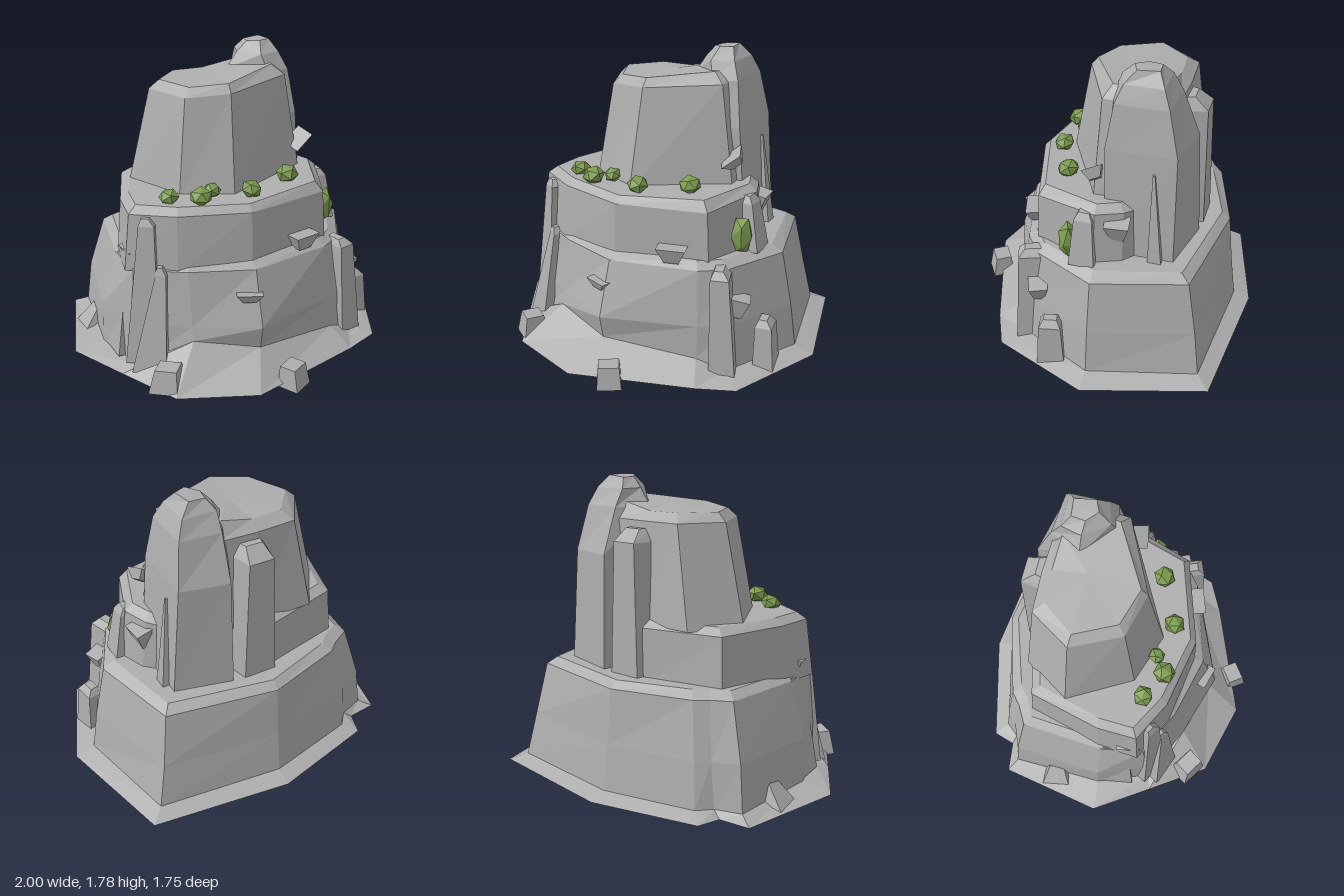
import * as THREE from 'three';

const rock = new THREE.MeshStandardMaterial({ color: 0xaeaeae, side: THREE.DoubleSide });
rock.name = 'rock grey';
const moss = new THREE.MeshStandardMaterial({ color: 0x7c9c4e });
moss.name = 'shrub green';

// Faceted loft through rings of [x, z, optional y], listed clockwise from above, capped on the last ring
function loft(rings) {
  const pos = [];
  const loops = rings.map(([y, pts]) => pts.map(([x, z, own]) => new THREE.Vector3(x, own ?? y, z)));
  const tri = (...vs) => vs.forEach((v) => pos.push(v.x, v.y, v.z));
  const n = loops[0].length;
  for (let r = 0; r < loops.length - 1; r++) {
    const a = loops[r], b = loops[r + 1];
    for (let i = 0; i < n; i++) {
      const j = (i + 1) % n;
      tri(a[j], a[i], b[i]);
      tri(a[j], b[i], b[j]);
    }
  }
  const last = loops[loops.length - 1];
  const centre = last.reduce((s, v) => s.add(v), new THREE.Vector3()).divideScalar(n);
  last.forEach((v, i) => tri(last[(i + 1) % n], v, centre));
  const geo = new THREE.BufferGeometry();
  geo.setAttribute('position', new THREE.Float32BufferAttribute(pos, 3));
  geo.computeVertexNormals();
  return geo;
}

// Box whose top is scaled and shifted, for slabs, stones and wedges
function taperedBlock(w, h, d, topX, topZ, shiftX = 0, shiftZ = 0) {
  const geo = new THREE.BoxGeometry(w, h, d).toNonIndexed();
  const p = geo.attributes.position;
  for (let i = 0; i < p.count; i++) {
    if (p.getY(i) > 0) p.setXYZ(i, p.getX(i) * topX + shiftX, p.getY(i), p.getZ(i) * topZ + shiftZ);
  }
  geo.computeVertexNormals();
  return geo;
}

export function createModel() {
  const model = new THREE.Group();
  model.name = 'rockOutcrop';
  const add = (name, geo, mat = rock, at = [0, 0, 0], turn = [0, 0, 0]) => {
    const mesh = new THREE.Mesh(geo, mat);
    mesh.name = name;
    mesh.position.set(...at);
    mesh.rotation.set(...turn);
    model.add(mesh);
  };

  // Wide lower tier with its ground skirt and bevelled ledge
  const skirt = [[-0.03, -0.88], [0.8, -0.78], [1, -0.07], [0.78, 0.5], [0.57, 0.6], [-0.12, 0.85],
    [-0.57, 0.72], [-0.79, 0.38], [-1, 0.05], [-0.88, -0.57], [-0.7, -0.59], [-0.66, -0.72]];
  const foot = [[-0.03, -0.78], [0.72, -0.7], [0.88, -0.07], [0.66, 0.4], [0.5, 0.46, 0.13], [-0.03, 0.62, 0.19],
    [-0.4, 0.52, 0.25], [-0.7, 0.36], [-0.82, 0.04], [-0.8, -0.52], [-0.65, -0.57], [-0.58, -0.65]];
  const wall = [[-0.03, -0.745], [0.67, -0.66], [0.84, -0.07], [0.64, 0.36], [0.5, 0.45], [-0.03, 0.65],
    [-0.4, 0.5], [-0.7, 0.34], [-0.81, 0.04], [-0.77, -0.5], [-0.62, -0.56], [-0.55, -0.62]];
  const rim = [[-0.03, -0.71], [0.62, -0.6], [0.77, -0.07], [0.6, 0.3], [0.47, 0.4], [-0.03, 0.54],
    [-0.4, 0.44], [-0.68, 0.3], [-0.72, 0.04], [-0.68, -0.45], [-0.57, -0.51], [-0.5, -0.57]];
  const ledge = [[-0.03, -0.66], [0.58, -0.55], [0.7, -0.07], [0.55, 0.27], [0.44, 0.36], [-0.03, 0.47],
    [-0.38, 0.4], [-0.63, 0.27], [-0.67, 0.04], [-0.63, -0.41], [-0.53, -0.46], [-0.46, -0.52]];
  add('lowerTier', loft([[0.035, skirt], [0.07, foot], [0.33, wall], [0.65, rim], [0.69, ledge]]));

  // Hollow underside: flat rim, sloping sides and a shallow roof
  const inset = (s) => skirt.map(([x, z]) => [x * s, z * s]);
  add('underside', loft([[0.034, skirt], [0.034, inset(0.86)], [0.17, inset(0.48)]]));

  // Middle tier with a flat terrace
  add('middleTier', loft([
    [0.64, [[-0.1, -0.53], [0.36, -0.4], [0.58, -0.2], [0.64, -0.05], [0.5, 0.33], [-0.03, 0.485],
      [-0.45, 0.41], [-0.72, 0.27], [-0.7, 0.02], [-0.58, -0.42]]],
    [0.97, [[-0.1, -0.52], [0.34, -0.38], [0.54, -0.2, 1], [0.6, -0.05, 1], [0.48, 0.32], [-0.03, 0.468],
      [-0.44, 0.38], [-0.68, 0.25], [-0.67, 0.02], [-0.56, -0.4]]],
    [1.01, [[-0.1, -0.47], [0.32, -0.34], [0.5, -0.17, 1.04], [0.55, -0.05, 1.04], [0.44, 0.29, 1.03], [-0.03, 0.43],
      [-0.42, 0.34], [-0.63, 0.22], [-0.62, 0.02], [-0.51, -0.36]]],
  ]));

  // Upper block with a bevelled, slightly tilted top
  add('upperTier', loft([
    [0.98, [[-0.02, -0.47], [0.25, -0.45], [0.46, -0.25], [0.47, 0], [-0.06, 0.28], [-0.36, 0.17], [-0.56, -0.2], [-0.38, -0.47]]],
    [1.55, [[-0.03, -0.43], [0.2, -0.42], [0.38, -0.25, 1.6], [0.37, -0.03, 1.6], [-0.04, 0.16, 1.57], [-0.29, 0.09],
      [-0.42, -0.19], [-0.27, -0.42]]],
    [1.6, [[-0.03, -0.37], [0.17, -0.36, 1.64], [0.33, -0.24, 1.66], [0.3, -0.07, 1.66], [-0.04, 0.12, 1.62], [-0.25, 0.05],
      [-0.36, -0.18], [-0.22, -0.36]]],
  ]));

  // Tall pointed pillar behind
  add('peakPillar', loft([
    [0.66, [[0.17, -0.56], [0.51, -0.48], [0.52, -0.08], [0.3, -0.03], [0.1, -0.25]]],
    [1.35, [[0.18, -0.53], [0.46, -0.47], [0.465, -0.07], [0.3, -0.04], [0.09, -0.25]]],
    [1.61, [[0.18, -0.43], [0.42, -0.41], [0.425, -0.11], [0.28, -0.07], [0.08, -0.25]]],
    [1.71, [[0.18, -0.37], [0.38, -0.37], [0.38, -0.15], [0.25, -0.11], [0.15, -0.25]]],
    [1.78, [[0.22, -0.32, 1.77], [0.32, -0.33], [0.34, -0.21], [0.27, -0.18], [0.21, -0.24, 1.77]]],
  ]));

  // Narrow columns on the back
  add('backColumn', loft([
    [0.66, [[-0.1, -0.57], [0.1, -0.57], [0.16, -0.36], [-0.14, -0.36]]],
    [1.44, [[-0.07, -0.55], [0.08, -0.55], [0.13, -0.36], [-0.11, -0.36]]],
    [1.51, [[-0.04, -0.47], [0.06, -0.47], [0.09, -0.36], [-0.07, -0.36]]],
  ]));
  add('sideFin', taperedBlock(0.12, 0.56, 0.08, 0.4, 0.15, -0.03, 0.03), rock, [0.49, 0.96, -0.38]);

  // Buttresses leaning on the walls: name, size, top scale, top shift, position, yaw
  const buttresses = [
    ['rightButtress', [0.15, 0.58, 0.26], [0.7, 0.75], [-0.03, -0.01], [0.61, 0.34, 0.32], 0.35],
    ['rightUpperSlab', [0.12, 0.28, 0.15], [0.6, 0.7], [-0.03, 0], [0.62, 0.82, 0.01], 0],
    ['rightStandingSlab', [0.12, 0.26, 0.16], [0.8, 0.8], [-0.01, 0], [0.8, 0.17, 0.165], 0.2],
    ['leftTallSlab', [0.2, 0.84, 0.16], [0.45, 0.6], [0.03, -0.04], [-0.63, 0.5, 0.32], -0.5],
    ['leftLowSlab', [0.2, 0.58, 0.18], [0.3, 0.4], [0.06, -0.05], [-0.61, 0.35, 0.39], -0.5],
    ['leftShoulder', [0.16, 0.55, 0.26], [0.5, 0.7], [0.05, 0], [-0.72, 0.35, 0.12], 0.15],
  ];
  for (const [name, size, top, shift, at, yaw] of buttresses) {
    const [w, h, d] = size;
    add(name, taperedBlock(...size, ...top, ...shift), rock, at, [0, yaw, 0]);
    // sloped crown on each buttress
    const crown = taperedBlock(w * top[0], 0.04, d * top[1], 0.5, 0.6, -0.01);
    crown.translate(shift[0], h / 2 + 0.02, shift[1]);
    add(name + 'Crown', crown, rock, at, [0, yaw, 0]);
  }

  // Loose stones on the ground: name, size, top scale, top shift, position, rotation
  const stones = [
    ['leftStone', [0.17, 0.14, 0.15], [0.75, 0.7], [0.02, 0], [-0.59, 0.1, 0.59], [0, -0.6, 0.06]],
    ['frontStone', [0.14, 0.13, 0.13], [0.85, 0.75], [0, -0.01], [0.115, 0.068, 0.775], [0, 0.6, 0]],
    ['backLeftStone', [0.16, 0.13, 0.18], [0.3, 0.5], [0.05, 0], [-0.83, 0.095, -0.24], [0, 0.1, 0]],
  ];
  for (const [name, size, top, shift, at, turn] of stones) {
    add(name, taperedBlock(...size, ...top, ...shift), rock, at, turn);
  }

  // Wedge-shaped chips jutting from the walls: position, size, rotation
  const chips = [
    [[-0.08, 0.5, 0.57], [0.15, 0.05, 0.08], [0, -0.3, 0]],
    [[0.31, 0.72, 0.41], [0.17, 0.09, 0.12], [0, 0.3, 0]],
    [[0.47, 1.18, -0.01], [0.14, 0.06, 0.12], [0.3, 0.4, 0.6]],
    [[0.56, 0.89, -0.17], [0.1, 0.13, 0.14], [0, 0.1, -0.2]],
    [[0.67, 0.43, 0.28], [0.11, 0.12, 0.11], [0, 0.4, -0.2]],
    [[-0.66, 0.7, 0.2], [0.08, 0.1, 0.14], [0, 0.2, 0.2]],
  ];
  for (const [at, [w, h, d], turn] of chips) {
    add('rockChip', taperedBlock(w * 0.5, h, d * 0.5, 2, 2), rock, at, turn);
  }

  // Low shrubs along the terrace and one tall shrub on the ledge
  const shrubs = [
    [-0.44, 1.035, 0.235, 0.062], [-0.28, 1.05, 0.325, 0.068], [-0.19, 1.05, 0.26, 0.052],
    [0.025, 1.05, 0.32, 0.065], [0.3, 1.065, 0.2, 0.068],
  ];
  shrubs.forEach(([x, y, z, r], i) => {
    const geo = new THREE.IcosahedronGeometry(r, 0).scale(1, 0.78, 1);
    geo.computeVertexNormals();
    add('shrub', geo, moss, [x, y, z], [0.1 * i, i * 1.3, 0.15]);
  });
  const tall = new THREE.IcosahedronGeometry(0.068, 0).scale(1, 1.8, 0.9);
  tall.computeVertexNormals();
  add('tallShrub', tall, moss, [0.59, 0.785, 0.11], [0, 0.4, 0]);

  return model;
}
